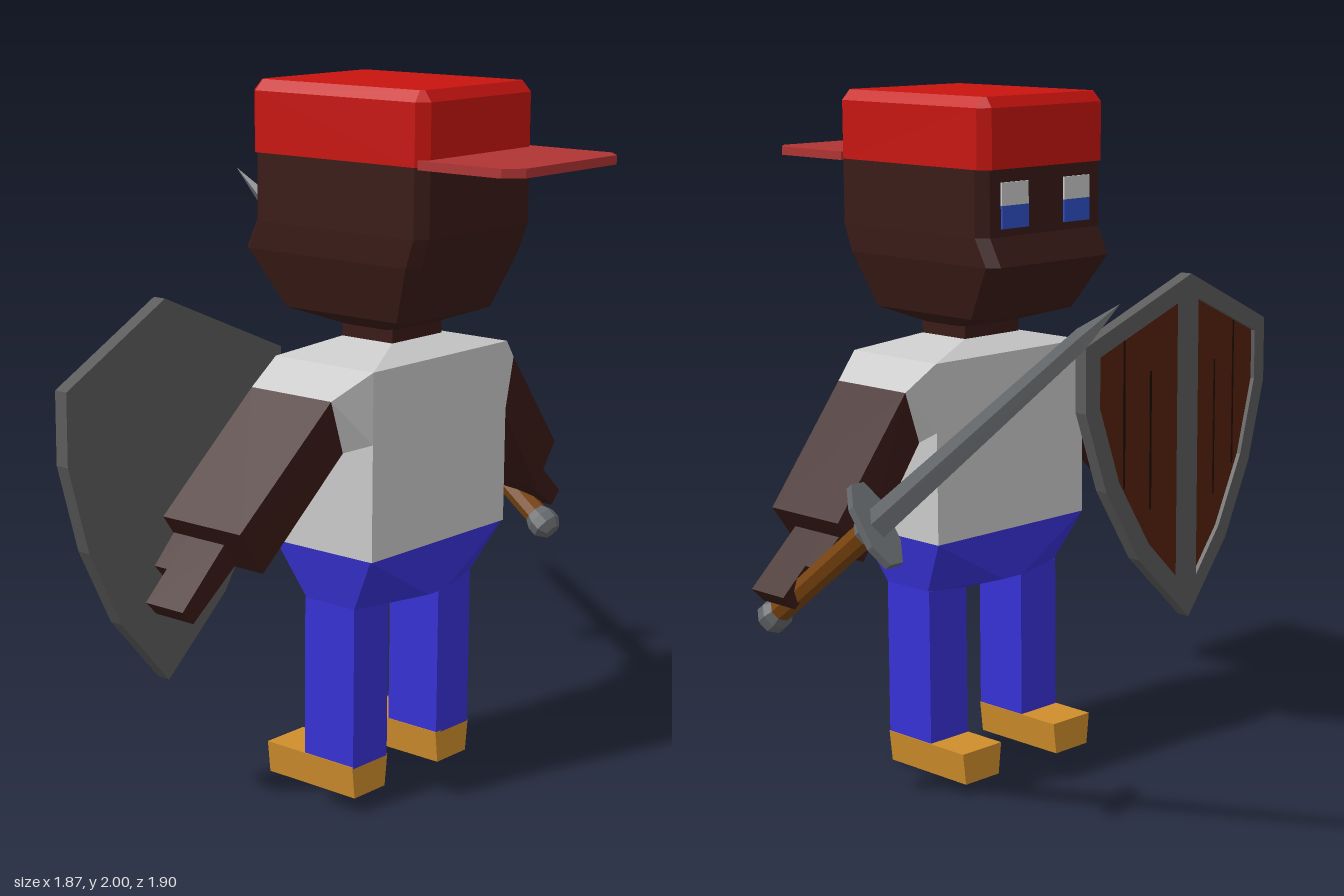
import * as THREE from 'three';
import { ConvexGeometry } from 'three/addons/geometries/ConvexGeometry.js';

const material = (color) => new THREE.MeshStandardMaterial({ color, flatShading: true });
const skin = material(0x3a1b17), shirt = material(0xcccccc), blue = material(0x3832d6);
const red = material(0xc81410), brimRed = material(0xb03434), shoeTan = material(0xd08e2c);
const iron = material(0x5c5c5c), steel = material(0x66696c), wood = material(0x55200c);
const seamDark = material(0x1c0a04), leather = material(0x7c4611);
const eyeWhite = material(0xcccccc), eyeBlue = material(0x2f50c8);

function add(parent, name, geometry, mat, x = 0, y = 0, z = 0) {
  const mesh = new THREE.Mesh(geometry, mat);
  mesh.name = name;
  mesh.position.set(x, y, z);
  parent.add(mesh);
  return mesh;
}

function group(parent, name) {
  const g = new THREE.Group();
  g.name = name;
  parent.add(g);
  return g;
}

const hull = (points) => new ConvexGeometry(points.map((p) => new THREE.Vector3(...p)));

// Horizontal outline at height y, with optional cut corners
function ring(y, hx, z0, z1, c = 0) {
  const pts = [];
  for (const s of [-1, 1]) {
    for (const [z, d] of [[z0, 1], [z1, -1]]) {
      if (c) pts.push([s * (hx - c), y, z], [s * hx, y, z + d * c]);
      else pts.push([s * hx, y, z]);
    }
  }
  return pts;
}

// Prism between two limb ends; each end is upper [x, y], lower [x, y], z range
function limb(side, ...ends) {
  const pts = [];
  for (const [up, low, z0, z1] of ends) {
    for (const z of [z0, z1]) pts.push([side * up[0], up[1], z], [side * low[0], low[1], z]);
  }
  return hull(pts);
}

function buildHead(body) {
  const head = group(body, 'head');
  const rings = [
    ring(1.8, 0.25, 0.05, 0.66, 0.03),
    ring(1.61, 0.25, 0.05, 0.66, 0.03),
    ring(1.53, 0.247, 0.01, 0.632, 0.03),
    ring(1.37, 0.205, 0.115, 0.57, 0.03),
    ring(1.325, 0.11, 0.27, 0.45, 0.02),
  ];
  for (let i = 0; i < rings.length - 1; i++) add(head, 'skull', hull([...rings[i], ...rings[i + 1]]), skin);
  add(head, 'neck', new THREE.BoxGeometry(0.22, 0.08, 0.18), skin, 0, 1.31, 0.36);

  // Eyes on the face, which looks towards -z
  for (const s of [-1, 1]) {
    add(head, 'eyeWhite', new THREE.BoxGeometry(0.105, 0.065, 0.012), eyeWhite, s * 0.125, 1.73, 0.05);
    add(head, 'iris', new THREE.BoxGeometry(0.105, 0.065, 0.012), eyeBlue, s * 0.125, 1.665, 0.05);
  }

  // Cap worn backwards
  add(head, 'cap', hull([
    ...ring(1.8, 0.25, 0.04, 0.66, 0.03),
    ...ring(1.97, 0.25, 0.04, 0.66, 0.03),
    ...ring(2, 0.225, 0.065, 0.635, 0.01),
  ]), red);
  const brim = [];
  for (const y of [1.795, 1.82]) {
    for (const s of [-1, 1]) brim.push([s * 0.25, y, 0.64], [s * 0.25, y, 0.91], [s * 0.205, y, 0.955]);
  }
  add(head, 'capBrim', hull(brim), brimRed);
}

function buildBody(body) {
  add(body, 'torso', hull([
    ...ring(0.72, 0.3, 0.19, 0.54),
    ...ring(1.25, 0.3, 0.19, 0.54),
    ...ring(1.29, 0.11, 0.27, 0.45),
  ]), shirt);

  for (const s of [-1, 1]) {
    const arm = group(body, s > 0 ? 'leftArm' : 'rightArm');
    const cuff = [[0.41, 1.18], [0.36, 1.03], 0.2, 0.485];
    add(arm, 'sleeve', limb(s, [[0.3, 1.25], [0.3, 1.05], 0.19, 0.54], cuff), shirt);
    add(arm, 'forearm', limb(s, cuff, [[0.71, 0.865], [0.62, 0.74], 0.15, 0.43]), skin);
    add(arm, 'hand', limb(s, [[0.69, 0.82], [0.64, 0.76], 0.22, 0.355], [[0.85, 0.67], [0.81, 0.63], 0.22, 0.355]), skin);
    add(arm, 'thumb', limb(s, [[0.69, 0.82], [0.64, 0.76], 0.17, 0.22], [[0.77, 0.745], [0.73, 0.7], 0.175, 0.22]), skin);

    // Half of the hips, a leg and a shoe
    const leg = group(body, s > 0 ? 'leftLeg' : 'rightLeg');
    const hip = [];
    for (const [x, y, d] of [[0.3, 0.72, 0.175], [0, 0.72, 0.175], [0, 0.57, 0.175],
      [0.04, 0.57, 0.175], [0.115, 0.545, 0.09], [0.265, 0.56, 0.09]]) {
      hip.push([s * x, y, 0.365 - d], [s * x, y, 0.36 + d]);
    }
    add(leg, 'hip', hull(hip), blue);
    add(leg, 'trouserLeg', new THREE.BoxGeometry(0.15, 0.47, 0.18), blue, s * 0.19, 0.325, 0.36);
    const shoe = add(leg, 'shoe', hull([...ring(0, 0.067, 0.13, 0.45), ...ring(0.095, 0.078, 0.13, 0.45)]), shoeTan);
    shoe.position.x = s * 0.19;
  }
}

function buildShield(parent) {
  const shield = group(parent, 'shield');
  shield.position.x = -0.525;
  const outer = [[0, 1.435], [0.415, 1.25], [0.415, 1.05], [0.335, 0.8], [0.205, 0.57], [0, 0.355]];
  const inner = [[0.04, 1.355], [0.36, 1.215], [0.36, 1.06], [0.285, 0.825], [0.165, 0.615], [0.04, 0.48]];

  for (const s of [-1, 1]) {
    const pts = (list) => list.map(([x, y]) => new THREE.Vector2(s * x, y));
    // Slab swept back from the central ridge
    const slab = (name, shape, z0, z1, mat) => {
      const g = new THREE.ExtrudeGeometry(shape, { depth: z1 - z0, bevelEnabled: false });
      const p = g.attributes.position;
      for (let i = 0; i < p.count; i++) p.setZ(i, p.getZ(i) + z0 + 0.12 * Math.abs(p.getX(i)));
      g.computeVertexNormals();
      add(shield, name, g, mat);
    };
    const frame = new THREE.Shape(pts(outer));
    frame.holes.push(new THREE.Path(pts(inner)));
    slab('shieldFrame', frame, 0.02, 0.05, iron);
    slab('shieldBack', new THREE.Shape(pts(outer)), 0.05, 0.062, iron);
    slab('shieldPlanks', new THREE.Shape(pts(inner)), 0.034, 0.05, wood);
    // Gaps between planks
    for (const [x, y0, y1] of [[0.145, 0.72, 1.15], [0.25, 0.8, 1.26]]) {
      const seam = [[x, y0], [x + 0.007, y0], [x + 0.007, y1], [x, y1]];
      slab('plankSeam', new THREE.Shape(pts(seam)), 0.032, 0.036, seamDark);
    }
  }
}

function buildSword(parent) {
  // Built along +y from the guard, then tilted towards -z
  const sword = group(parent, 'sword');
  sword.position.set(0.855, 0.91, -0.075);
  sword.rotation.x = -0.911;

  const blade = [[0, 1.105, 0]];
  for (const [y, hx, hz] of [[0, 0.021, 0.043], [0.95, 0.013, 0.027]]) {
    blade.push([hx, y, 0], [-hx, y, 0], [0, y, hz], [0, y, -hz]);
  }
  add(sword, 'blade', hull(blade), steel);

  const guard = [];
  for (const y of [-0.012, 0.012]) {
    for (const s of [-1, 1]) guard.push([0.05, y, s * 0.06], [-0.05, y, s * 0.06], [0.022, y, s * 0.122], [-0.022, y, s * 0.122]);
  }
  add(sword, 'guard', hull(guard), steel);
  add(sword, 'grip', new THREE.CylinderGeometry(0.038, 0.036, 0.5, 8), leather, 0, -0.255, 0);
  add(sword, 'collar', new THREE.CylinderGeometry(0.042, 0.042, 0.03, 8), steel, 0, -0.025, 0);
  const profile = [[0, -0.58], [0.028, -0.58], [0.048, -0.555], [0.048, -0.525], [0.034, -0.495], [0, -0.495]];
  add(sword, 'pommel', new THREE.LatheGeometry(profile.map((p) => new THREE.Vector2(...p)), 8), steel);
}

export function createModel() {
  const model = new THREE.Group();
  model.name = 'warrior';
  const body = group(model, 'body');
  body.position.x = 0.08;
  buildHead(body);
  buildBody(body);
  buildShield(model);
  buildSword(model);
  return model;
}
